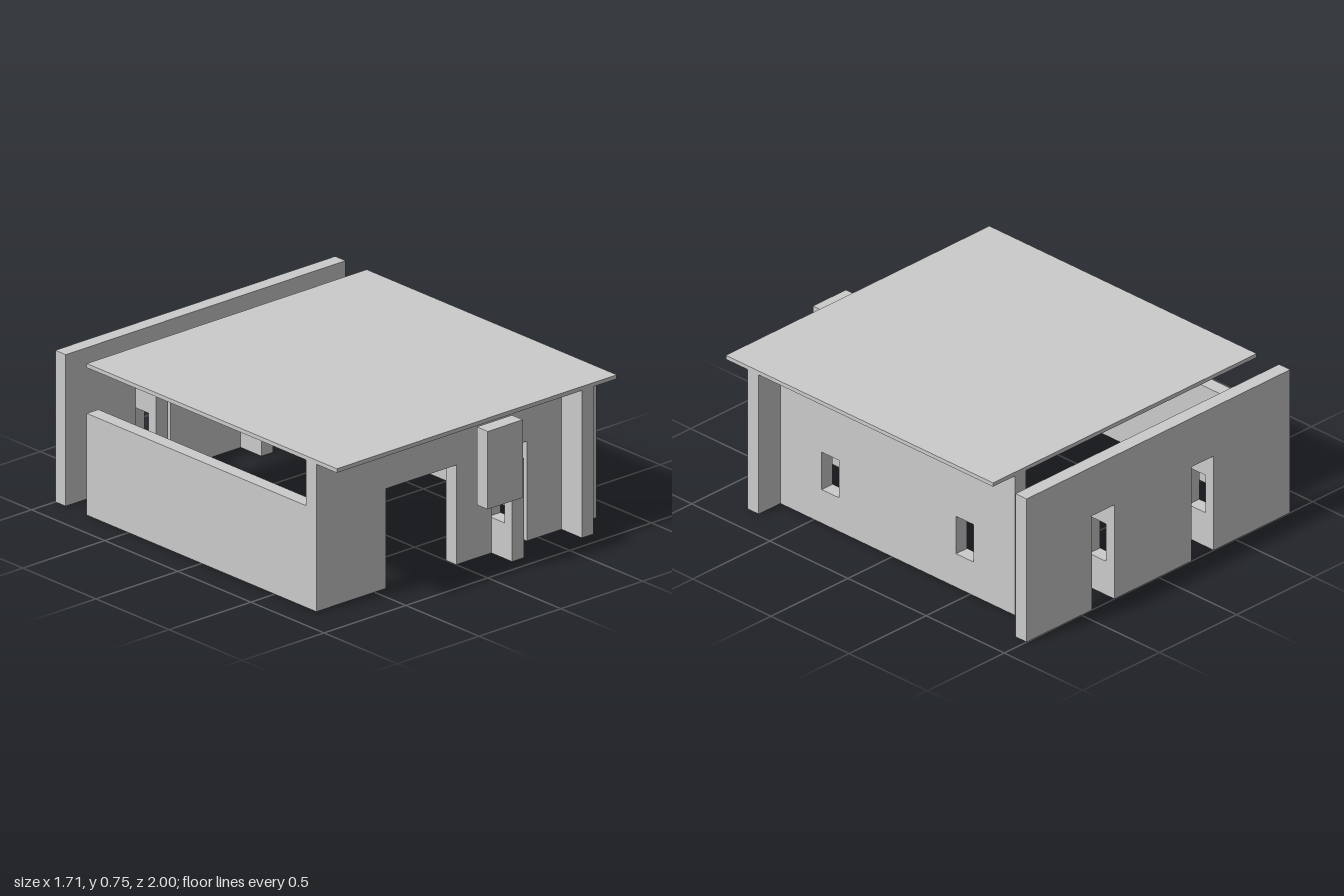
import * as THREE from 'three';

const material = new THREE.MeshStandardMaterial({ color: 0xcccccc, flatShading: true });

// Upright slab outline from u0 to u1, with door notches [u0, u1, height] and window holes [u0, u1, y0, y1]
function slabGeometry(u0, u1, height, thickness, doors = [], windows = []) {
  const shape = new THREE.Shape();
  shape.moveTo(u0, 0);
  for (const [a, b, h] of doors) {
    shape.lineTo(a, 0);
    shape.lineTo(a, h);
    shape.lineTo(b, h);
    shape.lineTo(b, 0);
  }
  shape.lineTo(u1, 0);
  shape.lineTo(u1, height);
  shape.lineTo(u0, height);
  shape.closePath();
  for (const [a, b, y0, y1] of windows) {
    const hole = new THREE.Path();
    hole.moveTo(a, y0);
    hole.lineTo(a, y1);
    hole.lineTo(b, y1);
    hole.lineTo(b, y0);
    hole.closePath();
    shape.holes.push(hole);
  }
  return new THREE.ExtrudeGeometry(shape, { depth: thickness, bevelEnabled: false });
}

export function createModel() {
  const group = new THREE.Group();
  const add = (name, geometry) => {
    const mesh = new THREE.Mesh(geometry, material);
    mesh.name = name;
    group.add(mesh);
  };
  const box = (name, x0, x1, y0, y1, z0, z1) =>
    add(name, new THREE.BoxGeometry(x1 - x0, y1 - y0, z1 - z0)
      .translate((x0 + x1) / 2, (y0 + y1) / 2, (z0 + z1) / 2));
  // Slab running along x, back face at z
  const wallX = (name, z, ...slab) => add(name, slabGeometry(...slab).translate(0, 0, z));
  // Slab running along z, outer face at x
  const wallZ = (name, x, ...slab) =>
    add(name, slabGeometry(...slab).rotateY(-Math.PI / 2).translate(x, 0, 0));

  const T = 0.0714;      // wall thickness
  const W = 0.855;       // half width
  const DOOR = 0.49;     // door height
  const ROOF = 0.725;    // underside of roof
  const SILL = 0.175, HEAD = 0.37; // window bottom and top

  // Roof slab
  box('roof', -W, W, ROOF, 0.745, -0.785, 0.925);

  // Front and back walls with door openings
  wallX('frontWall', 0.714, -W, W, ROOF, T, [[-0.43, 0, DOOR], [0.214, 0.43, DOOR]]);
  wallX('backWall', -1, -W, W, 0.745, T, [[-0.43, -0.214, DOOR], [0.214, 0.43, DOOR]]);

  // Side walls: one full height with windows, one low and plain
  wallZ('windowWall', 0.714, -0.785, 0.925, ROOF, T, [],
    [[-0.52, -0.41, SILL, HEAD], [0.34, 0.45, SILL, HEAD]]);
  wallZ('lowWall', -W + T, -0.785, 0.714, 0.5, T);

  // Open door leaves, each with a small window
  const leaves = [['frontDoor', 0.214, 0.714], ['backLeftDoor', 0.214, -1], ['backRightDoor', -0.43, -1]];
  for (const [name, x, z] of leaves) {
    wallZ(name, x + T, z, z + 0.214, DOOR, T, [], [[z + 0.054, z + 0.162, SILL, HEAD]]);
  }

  // Panel hanging at the front edge of the roof
  box('hangingPanel', 0, 0.214, 0.337, 0.72, 0.925, 1);

  return group;
}
